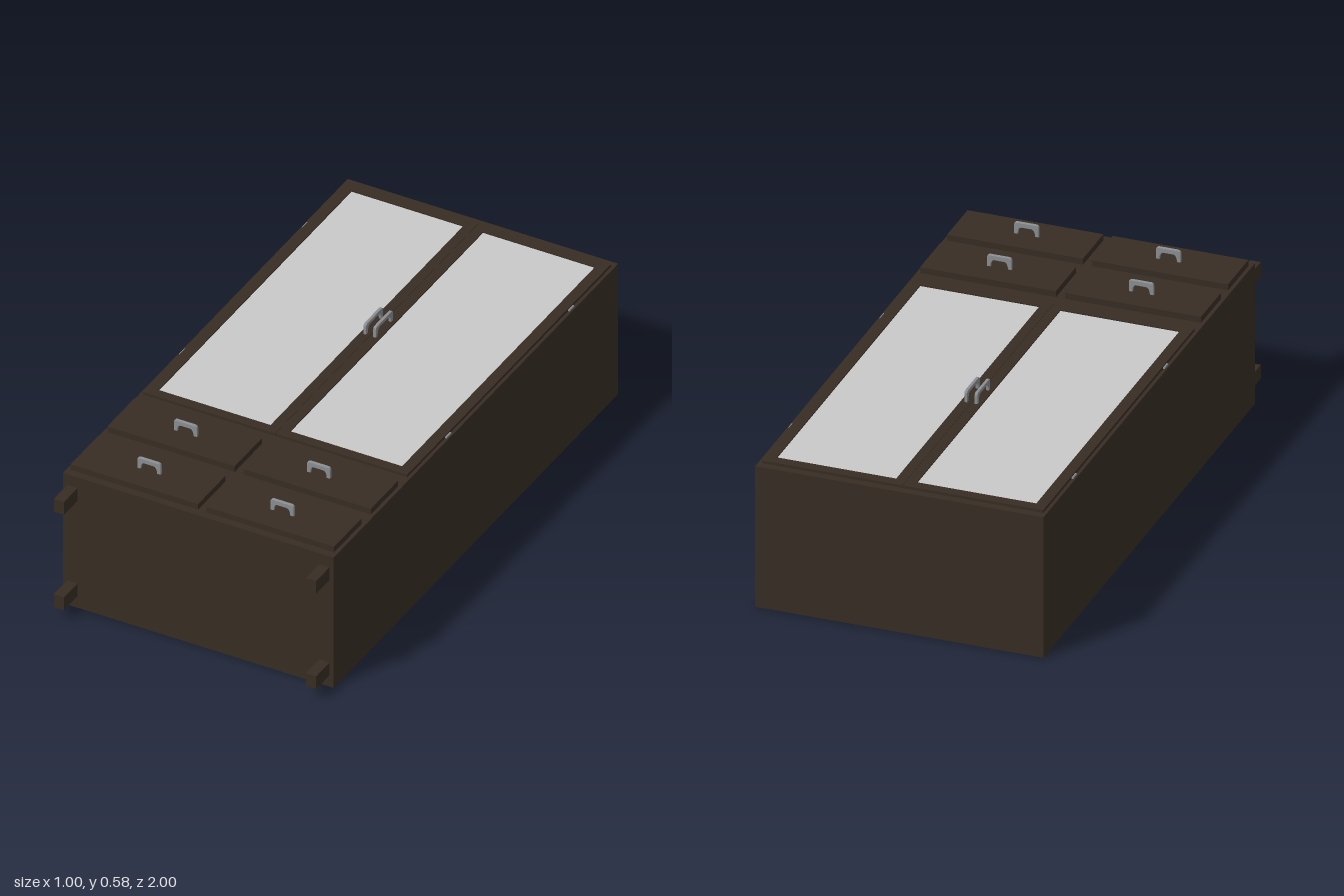
import * as THREE from 'three';

export function createModel() {
  const root = new THREE.Group();
  root.name = 'cabinet';
  const mat = (name, color) => Object.assign(new THREE.MeshStandardMaterial({ color }), { name });
  const wood = mat('dark wood', 0x372d23);
  const glass = mat('frosted glass', 0xc9c9c9);
  const metal = mat('brushed metal', 0x8b8e92);

  const add = (geometry, material, name) => {
    const mesh = new THREE.Mesh(geometry, material);
    mesh.name = name;
    root.add(mesh);
    return mesh;
  };
  // Box given by its lower and upper corners
  const box = (name, material, [x0, y0, z0], [x1, y1, z1]) => {
    const mesh = add(new THREE.BoxGeometry(x1 - x0, y1 - y0, z1 - z0), material, name);
    mesh.position.set((x0 + x1) / 2, (y0 + y1) / 2, (z0 + z1) / 2);
    return mesh;
  };
  const rect = (path, x0, y0, x1, y1) => {
    path.moveTo(x0, y0);
    path.lineTo(x1, y0);
    path.lineTo(x1, y1);
    path.lineTo(x0, y1);
    path.closePath();
    return path;
  };

  // Arched pull: w wide, h high, rounded shoulders and an open centre
  const pullGeometry = (w, h, leg, bar, depth) => {
    const a = w / 2, b = a - leg, top = h - bar, r = 0.012;
    const s = new THREE.Shape();
    s.moveTo(-a, 0);
    s.lineTo(-a, h - r);
    s.quadraticCurveTo(-a, h, -a + r, h);
    s.lineTo(a - r, h);
    s.quadraticCurveTo(a, h, a, h - r);
    s.lineTo(a, 0);
    s.lineTo(b, 0);
    s.quadraticCurveTo(b - 0.001, top, b - 0.014, top);
    s.lineTo(-b + 0.014, top);
    s.quadraticCurveTo(-b + 0.001, top, -b, 0);
    s.closePath();
    const e = 0.002;
    const g = new THREE.ExtrudeGeometry(s, {
      depth: depth - 2 * e, bevelEnabled: true, bevelThickness: e, bevelSize: e,
      bevelOffset: -e, bevelSegments: 2, curveSegments: 8,
    });
    return g.translate(0, 0, -depth / 2 + e);
  };
  const drawerPull = pullGeometry(0.086, 0.043, 0.013, 0.018, 0.011);
  const doorPull = pullGeometry(0.116, 0.041, 0.013, 0.013, 0.011);

  // Carcass, lying on its back
  box('carcass', wood, [-0.5, 0, -1], [0.5, 0.513, 0.91]);

  for (const side of [-1, 1]) {
    const label = side > 0 ? 'left' : 'right';
    const span = (a, b) => (side > 0 ? [a, b] : [-b, -a]);

    // Door frame with its glass opening
    const [dx0, dx1] = span(0.0005, 0.488);
    const [gx0, gx1] = span(0.036, 0.45);
    const frame = rect(new THREE.Shape(), dx0, -0.395, dx1, 0.972);
    frame.holes.push(rect(new THREE.Path(), gx0, -0.36, gx1, 0.935));
    const door = add(new THREE.ExtrudeGeometry(frame, { depth: 0.01, bevelEnabled: false }), wood, `${label}DoorFrame`);
    door.rotation.x = -Math.PI / 2;
    door.position.y = 0.513;
    box(`${label}DoorGlass`, glass, [gx0, 0.513, -0.935], [gx1, 0.519, 0.36]);

    // Upright pull beside the centre line
    const pull = add(doorPull, metal, `${label}DoorPull`);
    pull.rotation.y = Math.PI / 2;
    pull.position.set(side * 0.018, 0.522, -0.297);

    // Hinge barrels on the outer door edge
    for (const z of [-0.7, 0.125]) {
      const hinge = add(new THREE.CylinderGeometry(0.004, 0.004, 0.03, 10), metal, `${label}Hinge`);
      hinge.rotation.x = Math.PI / 2;
      hinge.position.set(side * 0.491, 0.516, z);
    }

    // Two drawers with pulls
    for (const [z0, z1] of [[0.455, 0.637], [0.699, 0.883]]) {
      const [x0, x1] = span(0.016, 0.487);
      box(`${label}Drawer`, wood, [x0, 0.513, z0], [x1, 0.535, z1]);
      const handle = add(drawerPull, metal, `${label}DrawerPull`);
      handle.position.set(side * 0.246, 0.534, (z0 + z1) / 2);
    }

    // Short square legs
    for (const y of [0.045, 0.42]) {
      const [x0, x1] = span(0.447, 0.485);
      box(`${label}Leg`, wood, [x0, y, 0.91], [x1, y + 0.05, 1]);
    }
  }
  return root;
}
